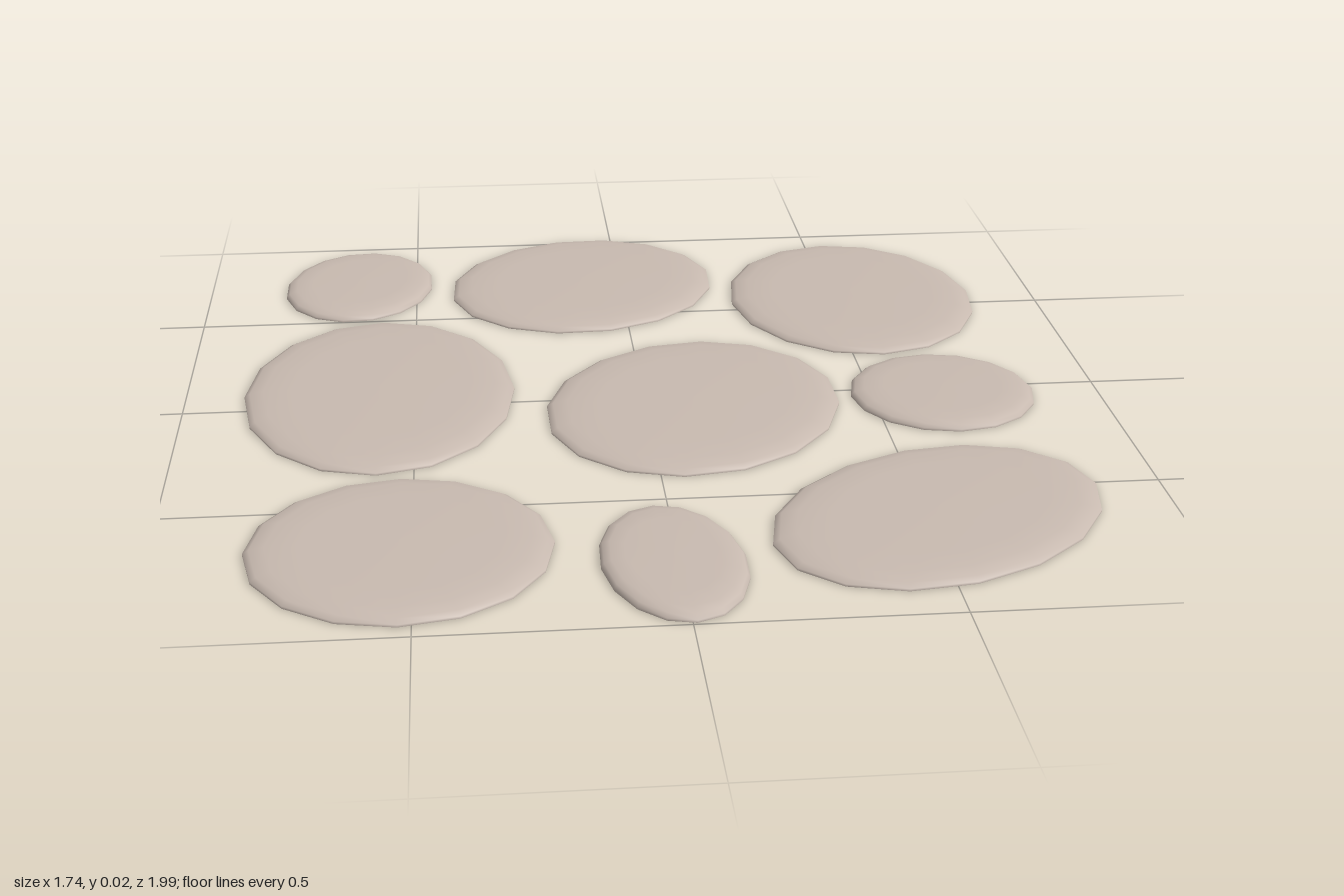
import * as THREE from 'three';

const SIDES = 16;

// Flat stepping stones: centre x, centre z, half width, half depth, turn about y
const STONES = [
  ['backRightStone', -0.64, -0.725, 0.178, 0.226, -0.15],
  ['backMiddleStone', -0.093, -0.693, 0.33, 0.30, 0.59],
  ['backLeftStone', 0.553, -0.552, 0.292, 0.358, 0.05],
  ['middleRightStone', -0.577, -0.067, 0.295, 0.41, 0],
  ['centreStone', 0.103, 0.055, 0.31, 0.36, -0.5],
  ['middleLeftStone', 0.655, 0.035, 0.202, 0.202, 0],
  ['frontRightStone', -0.525, 0.67, 0.295, 0.295, 0],
  ['frontMiddleStone', -0.012, 0.768, 0.138, 0.228, 0.09],
  ['frontLeftStone', 0.525, 0.615, 0.37, 0.265, 0.576],
];

// Half cross-section of a stone: short wall, rounded shoulder, nearly flat top
const PROFILE = [[1, 0], [1, 0.005], [0.96, 0.012], [0.86, 0.018], [0.65, 0.021], [0, 0.022]]
  .map(([r, y]) => new THREE.Vector2(r, y));

export function createModel() {
  const model = new THREE.Group();
  model.name = 'steppingStones';

  const stoneMaterial = new THREE.MeshStandardMaterial({ color: 0xc8bab0 });
  stoneMaterial.name = 'warm grey stone';

  const topGeometry = new THREE.LatheGeometry(PROFILE, SIDES);
  // Underside shares the outline of the rounded top
  const baseGeometry = new THREE.CircleGeometry(1, SIDES).rotateX(Math.PI / 2);

  for (const [name, x, z, rx, rz, turn] of STONES) {
    const stone = new THREE.Group();
    stone.name = name;
    const top = new THREE.Mesh(topGeometry, stoneMaterial);
    top.name = 'stoneTop';
    const base = new THREE.Mesh(baseGeometry, stoneMaterial);
    base.name = 'stoneUnderside';
    stone.add(top, base);
    stone.scale.set(rx, 1, rz);
    stone.rotation.y = turn;
    stone.position.set(x, 0, z);
    model.add(stone);
  }
  return model;
}
